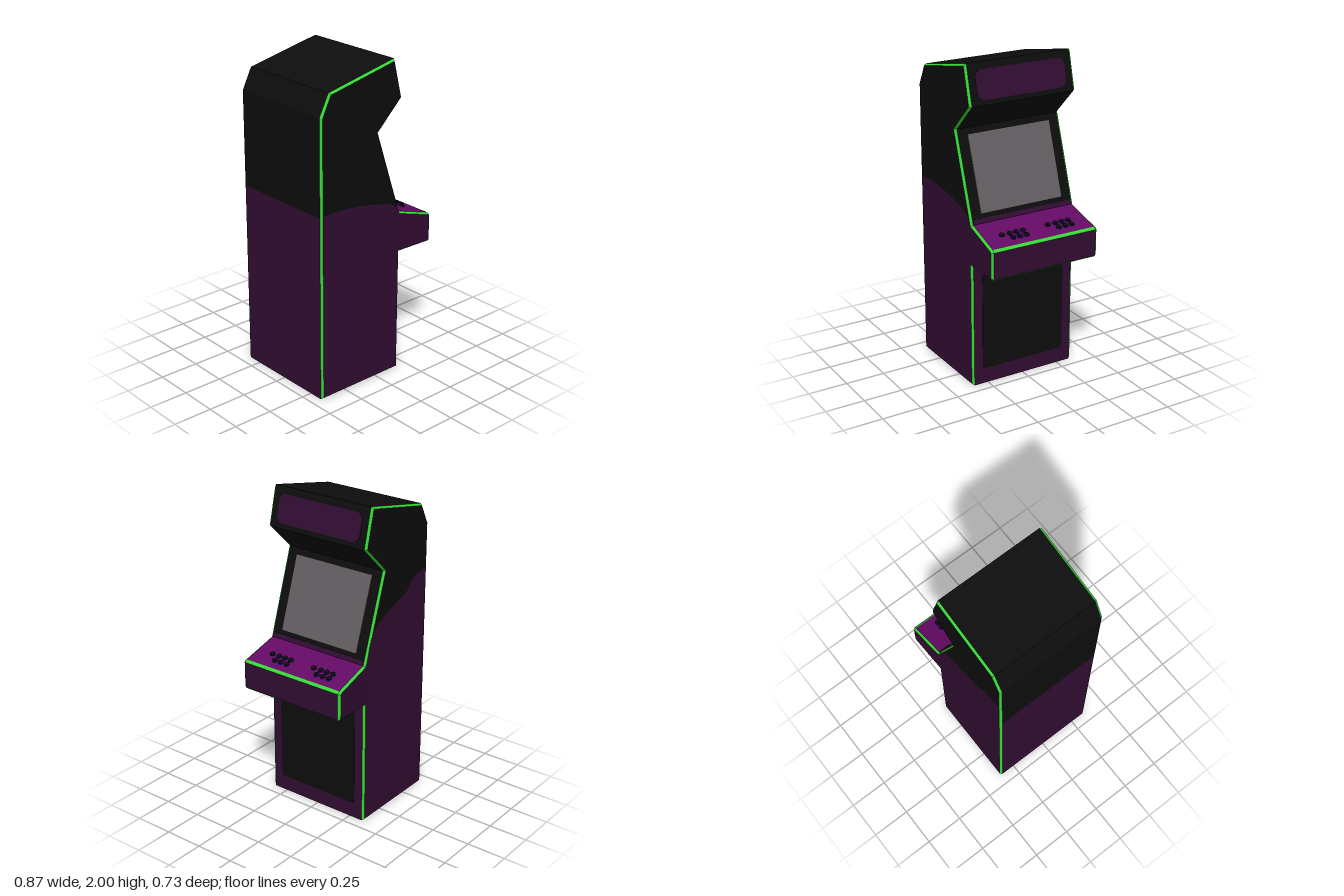
import * as THREE from 'three';

const paint = (name, color) => {
  const m = new THREE.MeshStandardMaterial({ color });
  m.name = name;
  return m;
};

// Cabinet outline in x, y (the cabinet faces +x), counter-clockwise from the front foot
const P = [
  [0.18, 0], [0.18, 0.79], [0.42, 0.79], [0.43, 0.8], [0.43, 0.965], [0.415, 0.98],
  [0.18, 1.05], [0, 1.585], [0.18, 1.76], [0.12, 2], [-0.37, 1.895],
  [-0.435, 1.765], [-0.435, 1.17], [-0.435, 0],
].map(([x, y]) => new THREE.Vector2(x, y));
const N = P.length;

// Outline moved inwards by d with mitred corners
function inset(points, d) {
  return points.map((p, i) => {
    const a = p.clone().sub(points[(i + N - 1) % N]).normalize();
    const b = points[(i + 1) % N].clone().sub(p).normalize();
    const na = new THREE.Vector2(-a.y, a.x), nb = new THREE.Vector2(-b.y, b.x);
    return na.clone().add(nb).multiplyScalar(d / (1 + na.dot(nb))).add(p);
  });
}
const Q = inset(P, 0.011);

// Half widths: the control deck flares slightly outwards
const flare = (x) => 0.03 * Math.max(0, x - 0.18);
const edgeZ = (p) => 0.343 + flare(p.x);
const sideZ = (p) => 0.357 + flare(p.x);

function quads(list) {
  const pos = [];
  for (const [a, b, c, d] of list) for (const v of [a, b, c, a, c, d]) pos.push(...v);
  const g = new THREE.BufferGeometry();
  g.setAttribute('position', new THREE.Float32BufferAttribute(pos, 3));
  g.computeVertexNormals();
  return g;
}

// Flat side panel on the s = +1 or -1 side
function sidePanel(points, s) {
  const g = new THREE.ShapeGeometry(new THREE.Shape(points));
  const pos = g.attributes.position;
  for (let i = 0; i < pos.count; i++) {
    pos.setZ(i, s * sideZ({ x: pos.getX(i) }));
  }
  if (s < 0) g.setIndex(Array.from(g.index.array).reverse());
  g.computeVertexNormals();
  return g;
}

function roundedRect(w, h, r) {
  const s = new THREE.Shape();
  const x = w / 2 - r, y = h / 2 - r;
  s.absarc(x, y, r, 0, Math.PI / 2);
  s.absarc(-x, y, r, Math.PI / 2, Math.PI);
  s.absarc(-x, -y, r, Math.PI, Math.PI * 1.5);
  s.absarc(x, -y, r, Math.PI * 1.5, Math.PI * 2);
  return s;
}

export function createModel() {
  const black = paint('black', 0x0d0d0d);
  const purple = paint('dark purple', 0x320d32);
  const magenta = paint('deck magenta', 0x640a64);
  const green = paint('trim green', 0x35d835);
  const grey = paint('screen grey', 0x625e62);
  const blue = paint('button blue', 0x1a10b0);

  const model = new THREE.Group();
  model.name = 'arcadeCabinet';
  const add = (name, geometry, material, parent = model) => {
    const mesh = new THREE.Mesh(geometry, material);
    mesh.name = name;
    parent.add(mesh);
    return mesh;
  };

  // Faces running across the cabinet, one for each outline edge
  const faces = [
    ['lowerFront', purple], ['deckUnderside', purple], ['deckLowerTrim', green],
    ['deckFront', purple], ['deckUpperTrim', green], ['controlPanel', magenta],
    ['screenBezel', black], ['marqueeUnderside', black], ['marqueeFront', black],
    ['roof', black], ['roofSlope', black], ['upperBack', black],
    ['lowerBack', purple], ['base', black],
  ];
  faces.forEach(([name, mat], i) => {
    const a = P[i], b = P[(i + 1) % N], za = edgeZ(a), zb = edgeZ(b);
    add(name, quads([[[a.x, a.y, za], [a.x, a.y, -za], [b.x, b.y, -zb], [b.x, b.y, zb]]]), mat);
  });

  // Bevelled trim along both side outlines, plain black along the floor
  for (const s of [1, -1]) {
    const bevel = (i) => {
      const j = (i + 1) % N;
      const q = [
        [P[i].x, P[i].y, s * edgeZ(P[i])], [P[j].x, P[j].y, s * edgeZ(P[j])],
        [Q[j].x, Q[j].y, s * sideZ(Q[j])], [Q[i].x, Q[i].y, s * sideZ(Q[i])],
      ];
      return s > 0 ? q : q.reverse();
    };
    const side = s > 0 ? 'near' : 'far';
    add(side + 'EdgeTrim', quads(Array.from({ length: N - 1 }, (_, i) => bevel(i))), green);
    add(side + 'FloorEdge', quads([bevel(N - 1)]), black);
  }

  // Two-tone sides: a curved paint line divides black from purple
  const paintLines = [
    [1, 'near', [[0.1, 1.118], [0, 1.145], [-0.1, 1.165], [-0.2, 1.178], [-0.32, 1.185]], 1.18],
    [-1, 'far', [[0.12, 1.2], [0.06, 1.27], [-0.08, 1.335], [-0.22, 1.385], [-0.29, 1.45]], 1.49],
  ];
  for (const [s, side, pts, backY] of paintLines) {
    const start = Q[6].clone().lerp(Q[7], 0.07);
    const end = new THREE.Vector2(Q[12].x, backY);
    const curve = new THREE.SplineCurve([start, ...pts.map((p) => new THREE.Vector2(...p)), end]);
    const line = curve.getPoints(24);
    add(side + 'LowerSide', sidePanel([Q[0], Q[1], Q[6], ...line, Q[13]], s), purple);
    add(side + 'UpperSide', sidePanel([...Q.slice(7, 12), ...line.slice().reverse()], s), black);
    add(side + 'DeckSide', sidePanel(Q.slice(1, 7), s), purple);
  }

  // Frame lying on outline edge i: local x across, y up the face, z outwards
  function faceFrame(i, name) {
    const a = P[i];
    const u = P[i + 1].clone().sub(a).normalize();
    const group = new THREE.Group();
    group.name = name;
    const m = new THREE.Matrix4().makeBasis(
      new THREE.Vector3(0, 0, -1), new THREE.Vector3(u.x, u.y, 0), new THREE.Vector3(u.y, -u.x, 0));
    group.quaternion.setFromRotationMatrix(m);
    group.position.set(a.x, a.y, 0);
    model.add(group);
    return group;
  }

  // Thin plates on the front faces: edge, bottom and top along the face, half width, corner radius
  const plates = [
    ['lowerDoor', 0, 0.1, 0.72, 0.285, 0.02, black],
    ['screen', 6, 0.058, 0.525, 0.28, 0.002, grey],
    ['screenSill', 6, 0.002, 0.03, 0.338, 0.002, purple],
    ['marqueePanel', 8, 0.03, 0.205, 0.3, 0.045, purple],
  ];
  for (const [name, edge, y0, y1, half, r, mat] of plates) {
    const g = new THREE.ExtrudeGeometry(roundedRect(half * 2, y1 - y0, r),
      { depth: 0.005, bevelEnabled: false, curveSegments: 6 });
    g.translate(0, (y0 + y1) / 2, -0.001);
    add(name, g, mat, faceFrame(edge, name + 'Frame'));
  }

  // Two sets of controls: six buttons and a stick each
  const controls = faceFrame(5, 'controls');
  const disc = (r, h) => new THREE.CylinderGeometry(r, r, h, 12).rotateX(Math.PI / 2);
  const slope = 0.235 / P[5].distanceTo(P[6]);
  for (const z0 of [-0.228, 0.088]) {
    const spots = [[0.315, z0 < 0 ? z0 + 0.142 : z0 + 0.142, 'stick']];
    for (let k = 0; k < 3; k++) {
      for (const x of [0.315, 0.355]) spots.push([x, z0 + k * 0.045, 'button']);
    }
    for (const [x, z, name] of spots) {
      const y = (P[5].x - x) / slope;
      if (name === 'button') add('buttonRing', disc(0.0175, 0.006), blue, controls).position.set(-z, y, 0.002);
      add(name, disc(0.0165, 0.012), black, controls).position.set(-z, y, 0.004);
    }
  }

  return model;
}
